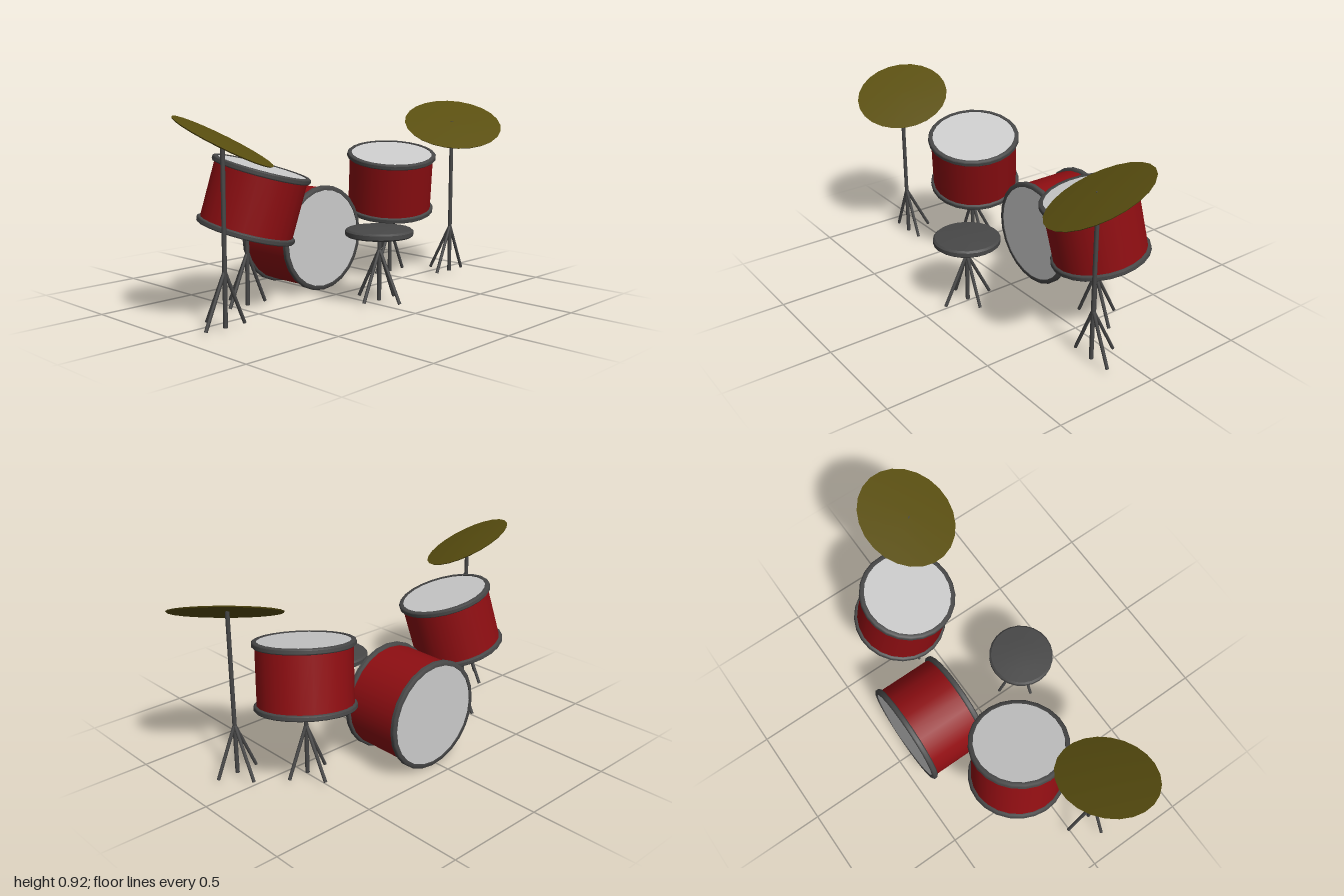
import * as THREE from 'three';
import { toCreasedNormals } from 'three/addons/utils/BufferGeometryUtils.js';

const SIDES = 24;
const UP = new THREE.Vector3(0, 1, 0);
const V = (x, y, z) => new THREE.Vector3(x, y, z);
const mat = (color) => new THREE.MeshStandardMaterial({ color });

export function createModel() {
  const red = mat(0x8f0e12), dark = mat(0x484848), skin = mat(0xcccccc), brass = mat(0x5a4f10);
  const model = new THREE.Group();

  const add = (parent, name, geometry, material) => {
    const mesh = new THREE.Mesh(geometry, material);
    mesh.name = name;
    parent.add(mesh);
    return mesh;
  };
  const group = (name) => {
    const g = new THREE.Group();
    g.name = name;
    model.add(g);
    return g;
  };
  // Turned part from [radius, height] pairs, listed bottom to top
  const turned = (points, crease = 0.6) => toCreasedNormals(
    new THREE.LatheGeometry(points.map(([r, y]) => new THREE.Vector2(r, y)), SIDES), crease);

  // Straight round bar between two points
  const bar = (parent, name, a, b, r) => {
    const mesh = add(parent, name, new THREE.CylinderGeometry(r, r, a.distanceTo(b), 8), dark);
    mesh.position.copy(a).add(b).multiplyScalar(0.5);
    mesh.quaternion.setFromUnitVectors(UP, b.clone().sub(a).normalize());
  };

  // Pole with splayed feet
  function stand(name, x, z, top, feet) {
    const g = group(name);
    g.position.set(x, 0, z);
    bar(g, 'pole', V(0, 0.02, 0), V(0, top, 0), 0.01);
    for (const [fx, fz] of feet) bar(g, 'leg', V(fx, 0.022, fz), V(0, 0.265, 0), 0.008);
  }

  // Shell, two rounded hoops and two heads; a and b are the hoop centres
  function drum(name, a, b, radius, bottomMaterial) {
    const g = group(name);
    const half = a.distanceTo(b) / 2, t = 0.013;
    g.position.copy(a).add(b).multiplyScalar(0.5);
    g.quaternion.setFromUnitVectors(UP, b.clone().sub(a).normalize());
    add(g, 'shell', new THREE.CylinderGeometry(radius, radius, half * 2, SIDES, 1, true), red);
    const hoop = [[-0.008, -t], [0.008, -t], [0.014, -0.007], [0.014, 0.007],
      [0.008, t], [-0.008, t], [-0.008, -t]].map(([r, y]) => [radius + r, y]);
    for (const s of [-1, 1]) {
      add(g, 'hoop', turned(hoop, 0.9), dark).position.y = s * half;
      const head = add(g, 'head', new THREE.CircleGeometry(radius, SIDES), s > 0 ? skin : bottomMaterial);
      head.rotation.x = -s * Math.PI / 2;
      head.position.y = s * (half + 0.009);
    }
  }

  // Thin shallow cone tilted to the given normal
  function cymbal(name, centre, normal, r) {
    const mesh = add(model, name, turned([[0, -0.001], [r - 0.004, -0.007], [r, -0.002], [0, 0.014]], 0.4), brass);
    mesh.position.copy(centre);
    mesh.quaternion.setFromUnitVectors(UP, normal.normalize());
  }

  // Drums
  drum('bassDrum', V(0.027, 0.263, -0.418), V(0.027, 0.263, -0.12), 0.248, skin);
  drum('leftTom', V(0.522, 0.368, -0.115), V(0.486, 0.647, -0.07), 0.217, dark);
  drum('rightTom', V(-0.472, 0.372, -0.115), V(-0.412, 0.645, -0.07), 0.217, dark);

  // Cymbals
  cymbal('leftCymbal', V(0.752, 0.808, 0.122), V(-0.29, 0.9, 0.33), 0.251);
  cymbal('rightCymbal', V(-0.783, 0.808, 0.12), V(0.33, 0.89, 0.31), 0.231);

  // Stands
  const tripod = [[0.105, 0], [-0.105, 0], [0, -0.127]];
  stand('leftTomStand', 0.513, -0.1, 0.372, tripod);
  stand('rightTomStand', -0.479, -0.1, 0.372, tripod);
  stand('leftCymbalStand', 0.746, 0.12, 0.82, tripod);
  stand('rightCymbalStand', -0.789, 0.12, 0.82, tripod);

  // Stool
  stand('stoolStand', 0.012, 0.27, 0.335, [...tripod, [0, 0.127]]);
  const seat = add(model, 'stoolSeat', turned([[0, 0.326], [0.15, 0.326], [0.159, 0.333],
    [0.159, 0.352], [0.15, 0.36], [0.08, 0.365], [0, 0.368]]), dark);
  seat.position.set(0.012, 0, 0.268);

  return model;
}
